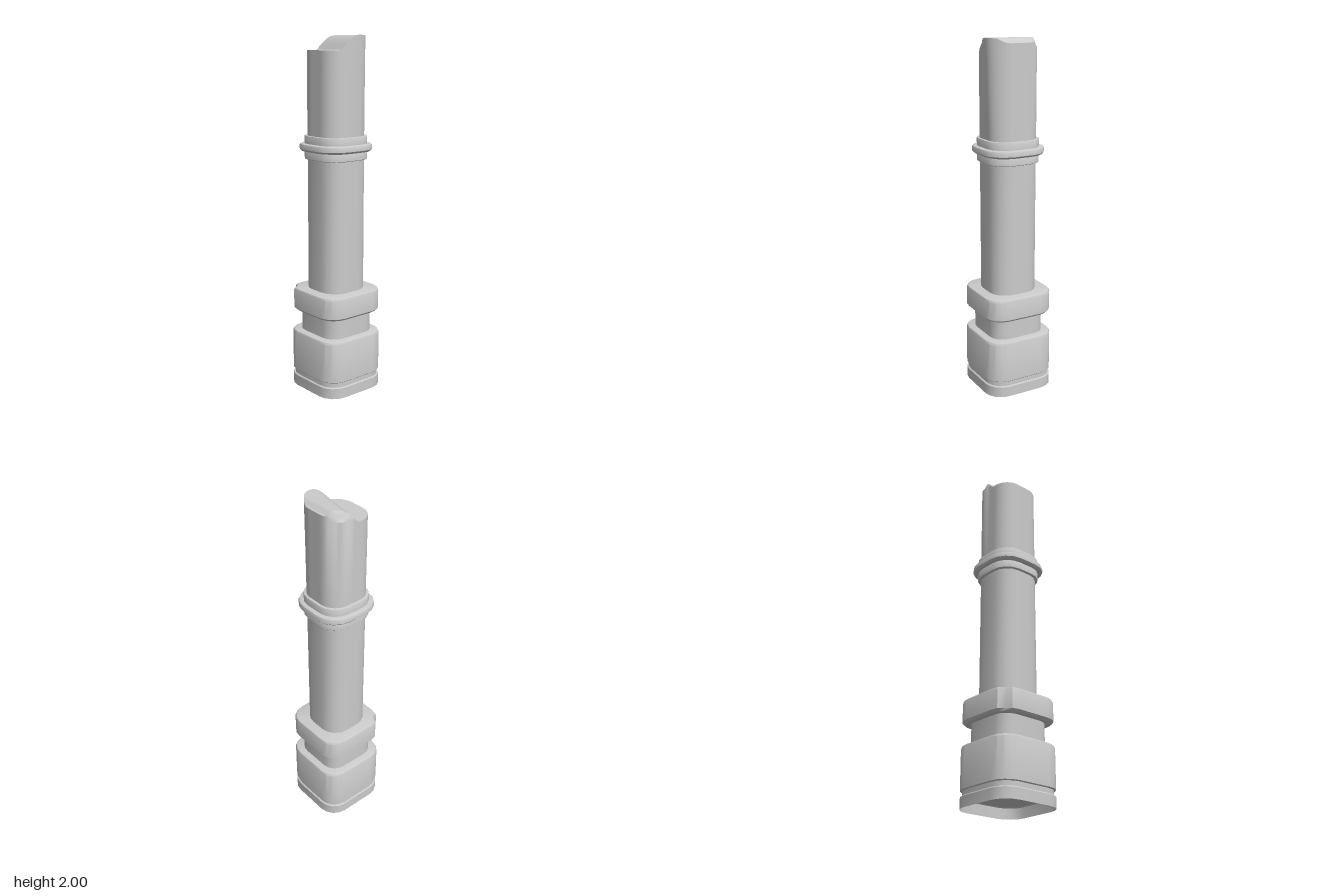
import * as THREE from 'three';
import { toCreasedNormals } from 'three/addons/utils/BufferGeometryUtils.js';

const TINY = 0.0005; // half-width that closes a cap

// Rounded square of half-width 1, corner radius r, listed from +x towards +z
function outline(r, cornerSteps, flatSteps) {
  const points = [];
  for (let q = 0; q < 4; q++) {
    const c = Math.cos(q * Math.PI / 2), s = Math.sin(q * Math.PI / 2);
    const add = (x, z) => points.push([x * c - z * s, x * s + z * c]);
    for (let i = 0; i < flatSteps; i++) add(1, (1 - r) * (2 * i / flatSteps - 1));
    for (let i = 0; i < cornerSteps; i++) {
      const a = i / cornerSteps * Math.PI / 2;
      add(1 - r + r * Math.cos(a), 1 - r + r * Math.sin(a));
    }
  }
  return points;
}

// Skins a stack of [halfWidth, y] sections; warp may move each vertex
function loft(name, sections, { r = 0.5, cornerSteps = 4, flatSteps = 1, warp, open = false, crease = 0.6 } = {}) {
  const ring = outline(r, cornerSteps, flatSteps), n = ring.length;
  const position = [], index = [];
  for (const [h, y] of sections) {
    for (const [x, z] of ring) {
      const p = new THREE.Vector3(x * h, y, z * h);
      if (warp) warp(p);
      position.push(p.x, p.y, p.z);
    }
  }
  for (let j = 0; j < sections.length - 1; j++) {
    for (let i = 0; i < n; i++) {
      const a = j * n + i, b = j * n + (i + 1) % n;
      index.push(a, a + n, b, b, a + n, b + n);
    }
  }
  const geometry = new THREE.BufferGeometry();
  geometry.setAttribute('position', new THREE.Float32BufferAttribute(position, 3));
  geometry.setIndex(index);
  const material = new THREE.MeshStandardMaterial({
    color: 0xcccccc, side: open ? THREE.DoubleSide : THREE.FrontSide,
  });
  const mesh = new THREE.Mesh(toCreasedNormals(geometry, crease), material);
  mesh.name = name;
  return mesh;
}

// Closed slab with bevelled top and bottom edges
function slab(h, y0, y1, bevelBottom, bevelTop) {
  return [
    [TINY, y0], [h - bevelBottom, y0], [h, y0 + bevelBottom],
    [h, y1 - bevelTop], [h - bevelTop * 0.3, y1 - bevelTop * 0.3], [h - bevelTop, y1], [TINY, y1],
  ];
}

// Knocks off the front corner of the block on the -x side
function chipBlock(p) {
  if (p.x > -0.15 || p.z < 0.15) return;
  const k = 0.157 + 0.01 * (0.585 - p.y) / 0.13;
  p.x = Math.max(p.x, -k);
  p.z = Math.min(p.z, k);
}

// Height of the broken top: low front ledge, then a rounded slope to the crest
function breakHeight(x, z) {
  const u = 0.047 + 0.195 * x - z;
  let y = 1.92 + 0.08 * Math.sin(Math.PI / 2 * THREE.MathUtils.clamp(u / 0.105, 0, 1));
  y -= 0.025 * THREE.MathUtils.smoothstep(-z, 0.1, 0.14);
  // splintered edge at the back on the -x side
  const chip = (-x - 0.45 * z - 0.142) / 0.022;
  return Math.max(1.92, y - 0.05 * THREE.MathUtils.clamp(chip, 0, 1));
}

function warpShaftTop(p) {
  const t = (p.y - 1.45) / 0.5;
  if (p.y > 1.9) p.y = breakHeight(p.x, p.z);
  // slight outward lean of the +x side
  const lean = Math.max(0, 1 - ((p.z + 0.045) / 0.075) ** 2);
  p.x += 0.017 * Math.min(1, t) * lean * Math.max(0, p.x / 0.14);
}

export function createModel() {
  const group = new THREE.Group();
  group.name = 'brokenPillar';

  // Foot: open lip, shadow groove and main plinth
  group.add(
    loft('footLip', [[0.207, 0], [0.207, 0.06], [0.203, 0.065], [0.19, 0.065]], { open: true }),
    loft('footGroove', [[TINY, 0.064], [0.198, 0.064], [0.198, 0.1]]),
    loft('plinth', slab(0.207, 0.093, 0.335, 0.004, 0.016)),
    loft('neck', [[0.163, 0.33], [0.163, 0.46]]),
    loft('chippedBlock', slab(0.203, 0.455, 0.587, 0.012, 0.014), { warp: chipBlock }),
  );

  // Shaft and collar
  const round = { r: 0.7 };
  group.add(
    loft('shaft', [[0.14, 0.58], [0.14, 1.46]], round),
    loft('collarLower', slab(0.155, 1.33, 1.38, 0.003, 0.003), round),
    loft('collarRing', slab(0.18, 1.375, 1.417, 0.011, 0.011), round),
    loft('collarUpper', slab(0.155, 1.41, 1.46, 0.003, 0.003), round),
  );

  // Upper shaft with its broken end, capped by shrinking rings
  const top = [[0.14, 1.45], [0.14, 1.95]];
  const rings = 24;
  for (let i = 1; i <= rings; i++) top.push([Math.max(TINY, 0.14 * (1 - i / rings)), 1.95]);
  group.add(loft('brokenShaftTop', top, { r: 0.7, cornerSteps: 12, flatSteps: 6, warp: warpShaftTop }));

  return group;
}
